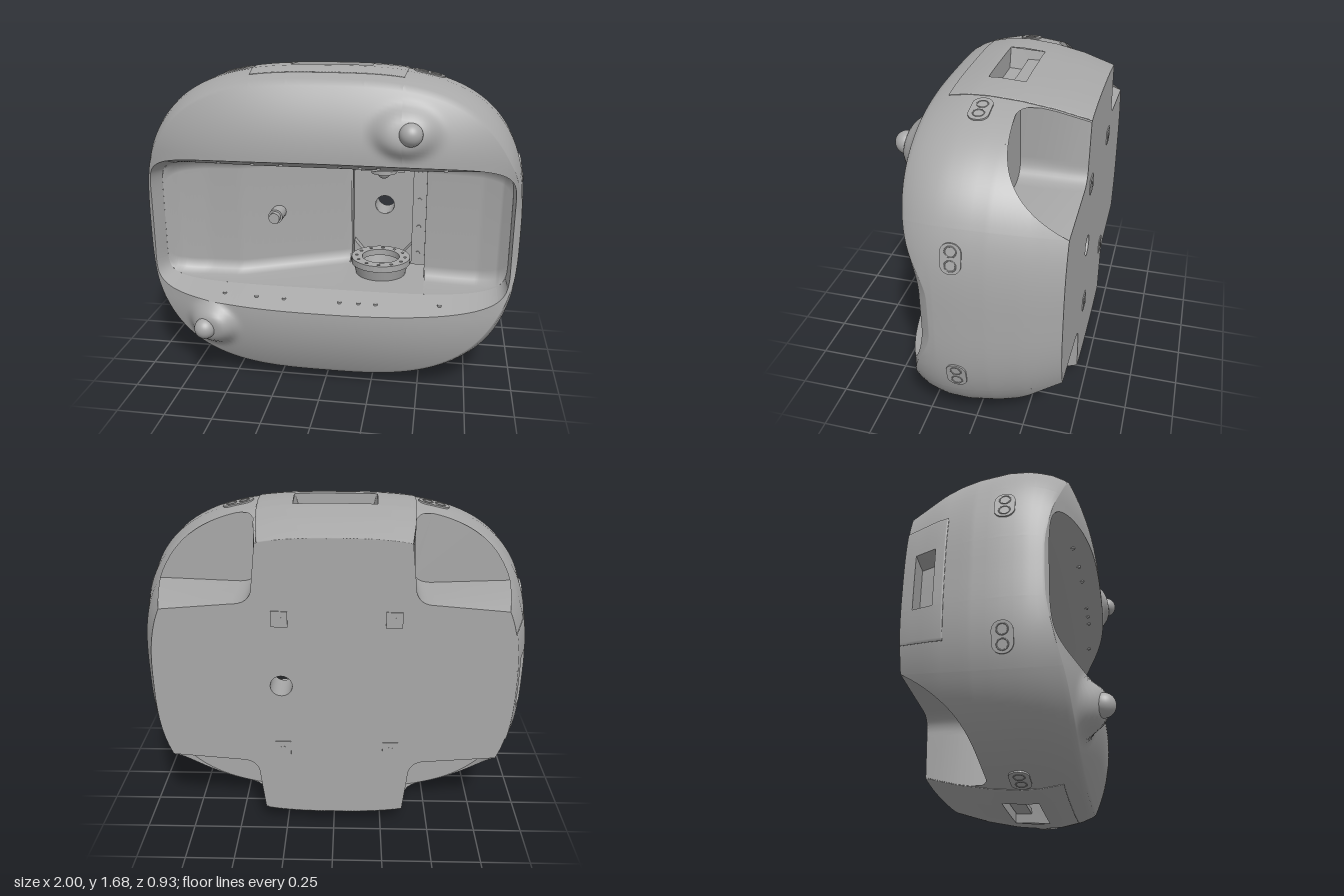
import * as THREE from 'three';

const CY = 0.84, BACK = -0.46, WELL = -0.14, PI = Math.PI;
const gray = new THREE.MeshStandardMaterial({ color: 0xa8a8a8, side: THREE.DoubleSide });
gray.name = 'shellGray';

// Piecewise linear lookup in a short [key, value] list
function lookup(t, k) {
  if (k <= t[0][0]) return t[0][1];
  for (let i = 1; i < t.length; i++) {
    if (k <= t[i][0]) return t[i - 1][1] + (t[i][1] - t[i - 1][1]) * (k - t[i - 1][0]) / (t[i][0] - t[i - 1][0]);
  }
  return t[t.length - 1][1];
}
const HALF_W = [[-0.46, 0.895], [-0.3, 0.955], [-0.14, 0.987], [0, 1], [0.1, 0.999], [0.17, 0.988], [0.23, 0.965], [0.3, 0.91]];
const HALF_H = [[-0.46, 0.755], [-0.3, 0.799], [-0.14, 0.827], [0, 0.838], [0.1, 0.835], [0.2, 0.816], [0.26, 0.797], [0.3, 0.775]];
const ROUNDNESS = [[-0.46, 2.75], [0, 3]];
const CAVITY = [[-0.92, 0.13], [-0.84, 0.08], [-0.7, 0.045], [-0.5, 0.03], [0.07, -0.24], [0.07001, -0.03], [0.51, -0.03], [0.8, 0], [0.9, 0.03], [0.95, 0.07]];
// Lamps: x, y, mound height, mound centre x, mound half width
const LAMPS = [[0.43, 0.56, 0.05, 0.405, 0.145], [-0.63, -0.52, 0.075, -0.605, 0.12]];

// Side surface: superellipse section at depth z, in direction a (y relative to centre)
function section(a, z) {
  const w = lookup(HALF_W, z), h = lookup(HALF_H, z), n = lookup(ROUNDNESS, z), c = Math.cos(a), s = Math.sin(a);
  const r = (Math.abs(c / w) ** n + Math.abs(s / h) ** n) ** (-1 / n);
  return [r * c, r * s];
}
function shellPoint(a, z, off = 0) {
  const [x, y] = section(a, z), l = Math.hypot(x, y);
  return new THREE.Vector3(x * (1 + off / l), CY + y * (1 + off / l), z);
}
// Front surface depth, dipping at the window ends, with a mound under each lamp
function frontZ(x, y) {
  let z = 0.39 - 0.19 * Math.abs(x) ** 3 - 0.1 * (Math.max(0, Math.abs(y) - 0.41) / 0.37) ** 2;
  z -= (x > 0 ? 0.077 : 0.025) * Math.abs(x) ** 12 * (1 - THREE.MathUtils.smoothstep(Math.abs(y), 0.1, 0.42));
  for (const [, ly, h, mx, w] of LAMPS) z += h * Math.exp(-((Math.hypot((x - mx) / w, (y - ly) / 0.11) ** 5)));
  return z;
}
function rimZ(a) {
  let z = 0.24;
  for (let i = 0; i < 8; i++) z = 0.5 * z + 0.5 * frontZ(...section(a, z));
  return z;
}
// Directions where the wheel wells start, and the back edge of the shell
function angleAt(value, axis) {
  let lo = 0, hi = PI / 2;
  for (let i = 0; i < 40; i++) {
    const m = (lo + hi) / 2, v = section(m, -0.3)[axis];
    if ((axis === 1) === (v < value)) lo = m; else hi = m;
  }
  return lo;
}
const A_TOP = angleAt(0.385, 0), A_SIDE = angleAt(0.435, 1), A_SLOT = angleAt(0.2, 0);
function backZ(a) {
  const p = section(a, -0.3), u = Math.abs(p[0]) - 0.385, v = Math.abs(p[1]) - 0.435;
  if (u <= 0 || v <= 0) return BACK;
  const k = Math.max(0, 0.1 - u);
  const zx = WELL - 0.1 + Math.sqrt(0.01 - k * k);
  return Math.min(zx, WELL - 0.32 * Math.max(0, 1 - v / 0.38) ** 2.7);
}
const SLOTS = [
  [A_SLOT, PI - A_SLOT, -0.12, 0.06], [PI + A_SLOT, 2 * PI - A_SLOT, -0.12, 0.06], [PI - 0.15, PI + 0.15, -0.4, -0.3]
];
const inSlot = (a, z) => SLOTS.some(s => a > s[0] && a < s[1] && z > s[2] && z < s[3]);

function gridGeometry(rows, skip) {
  const pos = [], idx = [], n = rows[0].length;
  rows.forEach(r => r.forEach(p => pos.push(p.x, p.y, p.z)));
  for (let i = 0; i < rows.length - 1; i++) for (let j = 0; j < n - 1; j++) {
    if (skip && skip(i, j)) continue;
    const a = i * n + j, b = a + n;
    idx.push(a, a + 1, b, b, a + 1, b + 1);
  }
  const g = new THREE.BufferGeometry();
  g.setAttribute('position', new THREE.Float32BufferAttribute(pos, 3));
  g.setIndex(idx);
  g.computeVertexNormals();
  return g;
}
function pill(w, h, r) {
  const s = new THREE.Shape(), x = w / 2 - r, y = h / 2 - r;
  s.absarc(x, y, r, 0, PI / 2); s.absarc(-x, y, r, PI / 2, PI);
  s.absarc(-x, -y, r, PI, 1.5 * PI); s.absarc(x, -y, r, 1.5 * PI, 2 * PI);
  return s;
}
const extrude = (s, depth) => new THREE.ExtrudeGeometry(s, { depth, bevelEnabled: false, curveSegments: 24 });
const disc = (x, y, r) => new THREE.Path().absarc(x, y, r, 0, 2 * PI, true);

export function createModel() {
  const model = new THREE.Group();
  const add = (name, geo, x = 0, y = 0, z = 0, parent = model) => {
    const m = new THREE.Mesh(geo, gray);
    m.name = name; m.position.set(x, y, z); parent.add(m);
    return m;
  };
  const box = (name, w, h, d, x, y, z) => add(name, new THREE.BoxGeometry(w, h, d), x, y, z);

  // Outer shell: side wall, rounded rim and front face down to the window edge
  const angles = [];
  for (let i = 0; i <= 288; i++) angles.push(i / 288 * 2 * PI);
  for (const a of [A_TOP, A_SIDE]) for (const e of [-1e-4, 1e-4]) angles.push(a + e, PI - a + e, PI + a + e, 2 * PI - a + e);
  SLOTS.forEach(s => angles.push(s[0], s[1]));
  angles.sort((a, b) => a - b);
  const Z = [-0.46, -0.4, -0.35, -0.3, -0.26, -0.22, -0.18, -0.14, -0.12, -0.06, 0, 0.06, 0.1];
  const rows = Z.map(z => angles.map(a => shellPoint(a, Math.max(z, backZ(a)))));
  const rims = angles.map(rimZ);
  for (const k of [0.3, 0.6, 0.88]) rows.push(angles.map((a, i) => shellPoint(a, 0.1 + k * (rims[i] - 0.1))));
  const ratios = angles.map((a, i) => THREE.MathUtils.clamp(section(a, rims[i])[0] / lookup(HALF_W, rims[i]), -1, 1));
  const windowEdge = (q, s) => [0.955 * q, s * (0.4 - 0.03 * q * q) * Math.max(0, 1 - q ** 8) ** 0.125];
  const innerEdge = (q, s) => new THREE.Vector3(0.015 + 0.935 * q, CY + s * 0.335 * Math.max(0, 1 - q ** 10) ** 0.1,
    0.21 - (q > 0 ? 0.14 : 0.08) * q ** 4);
  for (let r = 0; r <= 22; r++) rows.push(angles.map((a, i) => {
    const o = section(a, rims[i]), w = windowEdge(ratios[i], Math.sign(Math.sin(a))), k = r / 22;
    const x = o[0] + (w[0] - o[0]) * k, y = o[1] + (w[1] - o[1]) * k;
    return new THREE.Vector3(x, CY + y, frontZ(x, y));
  }));
  add('outerShell', gridGeometry(rows, (i, j) => i < Z.length - 1 &&
    inSlot((angles[j] + angles[j + 1]) / 2, (Z[i] + Z[i + 1]) / 2)));
  const inner = angles.map((a, i) => innerEdge(ratios[i], Math.sign(Math.sin(a))));
  add('windowLip', gridGeometry([rows[rows.length - 1], inner]));

  // Front cavity, with an open bay between the two halves
  const Q0 = 0.055 / 0.935, Q1 = 0.495 / 0.935, FLOOR = -0.3;
  const columns = (q0, q1, fn) => {
    const t0 = Math.asin(q0), t1 = Math.asin(q1), out = [];
    for (let i = 0; i <= 40; i++) out.push(fn(Math.sin(t0 + (t1 - t0) * i / 40)));
    return out;
  };
  const cavityColumn = q => {
    const p = innerEdge(q, 1), h = p.y - CY, zc = Math.min(p.z, lookup(CAVITY, p.x));
    const f = Math.min(0.07, h), zf = Math.min(p.z, zc + 0.06);
    return [[h, p.z], [h, zf], [h - f * 0.3, zc + (zf - zc) * 0.3], [h - f, zc], [f - h, zc], [f * 0.3 - h, zc + (zf - zc) * 0.3], [-h, zf], [-h, p.z]]
      .map(([y, z]) => new THREE.Vector3(p.x, CY + y, z));
  };
  add('cavityLeftHalf', gridGeometry(columns(-1, Q0 - 1e-5, cavityColumn)));
  add('cavityRightHalf', gridGeometry(columns(Q1, 1, cavityColumn)));
  for (const s of [1, -1]) add('bayWall', gridGeometry(columns(Q0, Q1, q => {
    const p = innerEdge(q, s);
    return [p, new THREE.Vector3(p.x, p.y, FLOOR)];
  })));
  box('baySide', 0.01, 0.67, 0.07, 0.075, CY, -0.265);
  box('baySide', 0.01, 0.67, 0.27, 0.51, CY, -0.165);
  const bay = pill(0.44, 0.67, 0.02);
  bay.holes.push(disc(-0.03, 0, 0.055));
  add('bayFloor', extrude(bay, 0.01), 0.29, CY, FLOOR);
  const tunnel = add('cableTunnel', new THREE.CylinderGeometry(0.055, 0.055, 0.16, 24, 1, true), 0.26, CY, -0.38);
  tunnel.rotation.x = PI / 2;
  box('bayFlange', 0.075, 0.6, 0.015, 0.465, CY, -0.14);
  for (let i = 0; i < 4; i++) {
    const b = add('flangeBolt', new THREE.CylinderGeometry(0.012, 0.012, 0.01, 12), 0.465, 0.61 + i * 0.157, -0.13);
    b.rotation.x = PI / 2;
  }

  // Bearing ring below, bracket above
  const ring = new THREE.Shape().absarc(0, 0, 0.165, 0, 2 * PI);
  ring.holes.push(disc(0, 0, 0.105));
  for (let i = 0; i < 12; i++) ring.holes.push(disc(0.137 * Math.cos(i * PI / 6), 0.137 * Math.sin(i * PI / 6), 0.009));
  add('bearingRing', extrude(ring, 0.035), 0.26, 0.565, -0.08).rotation.x = -PI / 2;
  add('bearingSeat', new THREE.CylinderGeometry(0.155, 0.14, 0.06, 40, 1, true), 0.26, 0.535, -0.08);
  box('upperBracket', 0.24, 0.06, 0.16, 0.26, 1.12, -0.17);
  add('bracketHub', new THREE.CylinderGeometry(0.07, 0.07, 0.05, 24), 0.26, 1.09, -0.17);
  add('bracketKnob', new THREE.SphereGeometry(0.035, 20, 12), 0.26, 1.065, -0.17);
  // Sloping fillers in the four bay corners
  const filler = new THREE.Shape([[0, 0], [0.1, 0], [0, 0.12]].map(p => new THREE.Vector2(...p)));
  for (const sx of [1, -1]) for (const sy of [1, -1]) {
    const m = add('bayCornerFiller', extrude(filler, 0.05), 0.26 + sx * 0.17, CY + sy * 0.33, FLOOR + 0.01);
    m.scale.set(-sx, -sy, 1);
  }

  // Peg on the cavity wall
  for (const [r, l, z] of [[0.04, 0.1, -0.02], [0.03, 0.04, 0.045]]) {
    add('peg', new THREE.CylinderGeometry(r, r, l, 24), -0.32, CY, z).rotation.x = PI / 2;
  }
  // Lamps
  for (const [x, y] of LAMPS) add('lamp', new THREE.SphereGeometry(0.057, 32, 20), x, CY + y, 0.403);

  // Back plate: a cross with rounded inner corners
  const corner = new THREE.QuadraticBezierCurve(new THREE.Vector2(0.485, 0.435), new THREE.Vector2(0.385, 0.435), new THREE.Vector2(0.385, 0.535)).getPoints(10);
  const arc = (a0, a1, z) => Array.from({ length: 25 }, (_, i) => new THREE.Vector2(...section(a0 + (a1 - a0) * i / 24, z)));
  const quarter = [...arc(0, A_SIDE, BACK), ...corner, ...arc(A_TOP, PI / 2, BACK)];
  const flip = (pts, sx, sy) => (sx * sy < 0 ? [...pts].reverse() : pts).map(p => new THREE.Vector2(p.x * sx, p.y * sy));
  const cross = new THREE.Shape([[1, 1], [-1, 1], [-1, -1], [1, -1]].flatMap(([sx, sy]) => flip(quarter, sx, sy).slice(0, -1)));
  cross.holes.push(disc(0.26, 0, 0.055));
  add('backPlate', extrude(cross, 0.01), 0, CY, BACK);
  for (const x of [0.26, -0.29]) for (const s of [1, -1]) {
    box('backBracket', 0.08, 0.08, 0.008, x, CY + s * 0.36, BACK - 0.002);
    add('backStud', new THREE.CylinderGeometry(0.014, 0.014, 0.014, 14), x, CY + s * 0.36, BACK).rotation.x = PI / 2;
  }

  // Wheel wells in the four back corners
  const wallRows = [-0.46, -0.38, -0.3, -0.22, WELL].map(z =>
    [new THREE.Vector2(...section(A_SIDE, z)), ...corner, new THREE.Vector2(...section(A_TOP, z))].map(p => [p, z]));
  for (const sx of [1, -1]) for (const sy of [1, -1]) {
    add('wellWall', gridGeometry(wallRows.map(r => r.map(([p, z]) => new THREE.Vector3(p.x * sx, CY + p.y * sy, z)))));
    const floor = new THREE.Shape(flip([...arc(A_SIDE, A_TOP, WELL), ...[...corner].reverse()], sx, sy));
    add('wellFloor', new THREE.ShapeGeometry(floor), 0, CY, WELL);
  }

  // Raised service panels following the shell, each with a slot
  function panel(name, a0, a1, z0, z1) {
    const as = [a0, ...angles.filter(a => a > a0 && a < a1), a1];
    const zs = [...new Set([z0, ...Z.filter(z => z > z0 && z < z1), z1])];
    const A = [a0, ...as, a1], ZZ = [z0, ...zs, z1];
    const g = ZZ.map((z, i) => A.map((a, j) =>
      shellPoint(a, z, i === 0 || j === 0 || i === ZZ.length - 1 || j === A.length - 1 ? 0 : 0.005)));
    add(name, gridGeometry(g, (i, j) => inSlot((A[j] + A[j + 1]) / 2, (ZZ[i] + ZZ[i + 1]) / 2)));
  }
  panel('topPanel', A_TOP + 0.015, PI - A_TOP - 0.003, BACK, 0.2);
  panel('bottomPanel', PI + A_TOP + 0.003, 2 * PI - A_TOP - 0.015, BACK, 0.2);
  panel('sidePanel', PI - 0.32, PI + 0.32, BACK, -0.25);
  // Slot recesses: inner walls and floor
  for (const [a0, a1, z0, z1] of SLOTS) {
    const as = [a0, ...angles.filter(a => a > a0 && a < a1), a1];
    const ringRow = off => [...as.map(a => shellPoint(a, z0, off)), ...[...as].reverse().map(a => shellPoint(a, z1, off)), shellPoint(a0, z0, off)];
    add('slotWall', gridGeometry([ringRow(0.005), ringRow(-0.1)]));
    add('slotFloor', gridGeometry([z0, z1].map(z => as.map(a => shellPoint(a, z, -0.1)))));
  }
  for (const s of [1, -1]) box('gripBar', 0.39, 0.025, 0.08, 0, CY + s * 0.775, -0.075);

  // Oval sensor plates with two rings each
  const tall = angleAt(0.315, 1), wide = angleAt(0.47, 0);
  for (const [base, onSide] of [[tall, true], [wide, false]]) for (const a of [base, PI - base, PI + base, 2 * PI - base]) {
    const g = new THREE.Group(), p = shellPoint(a, 0.015);
    const n = shellPoint(a + 0.01, 0.015).sub(shellPoint(a - 0.01, 0.015)).cross(shellPoint(a, 0.045).sub(shellPoint(a, -0.015)));
    g.name = 'sensorPlate';
    g.position.copy(p);
    if (!onSide) g.up.set(0, 0, 1);
    g.lookAt(p.clone().add(n.normalize()));
    add('sensorFace', extrude(onSide ? pill(0.095, 0.145, 0.045) : pill(0.16, 0.095, 0.045), 0.013), 0, 0, -0.009, g);
    for (const s of [-0.033, 0.033]) add('sensorRing', new THREE.TorusGeometry(0.025, 0.003, 8, 24), onSide ? 0 : s, onSide ? s : 0, 0.004, g);
    model.add(g);
  }

  // Small studs along the sloping window edges
  for (const s of [1, -1]) for (const x of [-0.8, -0.55, -0.37, -0.22, 0.08, 0.18, 0.27, 0.6]) {
    const edge = (0.4 - 0.03 * x * x + 0.335) / 2;
    add('edgeStud', new THREE.CylinderGeometry(0.011, 0.011, 0.012, 12), x, CY + s * edge, (frontZ(x, 0.38) + 0.21 - 0.08 * x ** 4) / 2);
  }
  return model;
}
